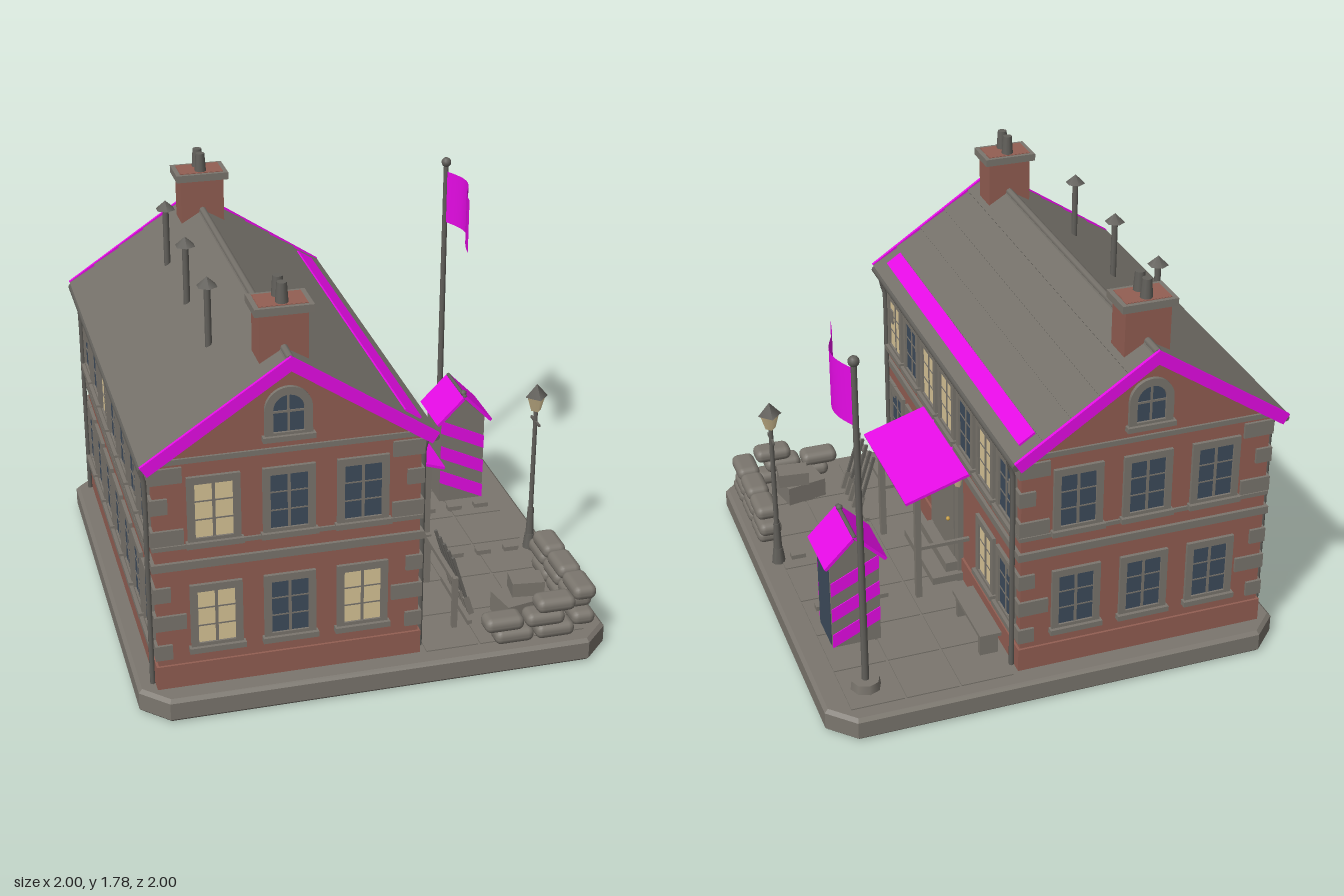
import * as THREE from 'three';
import { RoundedBoxGeometry } from 'three/addons/geometries/RoundedBoxGeometry.js';

const mat = (name, color, side = THREE.FrontSide) => {
  const m = new THREE.MeshStandardMaterial({ color, side });
  m.name = name;
  return m;
};

export function createModel() {
  const stone = mat('stone', 0x7b766e), slate = mat('slate', 0x75716a), brick = mat('brick', 0x935f53);
  const paint = mat('magenta paint', 0xf00cf0, THREE.DoubleSide), metal = mat('metal', 0x62605b);
  const glass = mat('dark glass', 0x3e4c5c), lit = mat('lit glass', 0xdac698), brass = mat('brass', 0xc9a045);
  const model = new THREE.Group();

  const add = (parent, name, geo, m, x = 0, y = 0, z = 0) => {
    const mesh = new THREE.Mesh(geo, m);
    mesh.name = name;
    mesh.position.set(x, y, z);
    parent.add(mesh);
    return mesh;
  };
  const box = (p, name, m, w, h, d, x, y, z) => add(p, name, new THREE.BoxGeometry(w, h, d), m, x, y, z);
  const cyl = (p, name, m, r1, r2, h, x, y, z, n = 8) => add(p, name, new THREE.CylinderGeometry(r1, r2, h, n), m, x, y, z);
  const group = (p, name, x = 0, y = 0, z = 0, ry = 0) => {
    const g = new THREE.Group();
    g.name = name;
    g.position.set(x, y, z);
    g.rotation.y = ry;
    p.add(g);
    return g;
  };
  const poly = pts => new THREE.Shape(pts.map(([x, y]) => new THREE.Vector2(x, y)));
  const extrude = (shape, depth) => new THREE.ExtrudeGeometry(shape, { depth, bevelEnabled: false });

  // Base with cut corners and a bevelled rim
  const b = 0.985, c = 0.885;
  const baseGeo = new THREE.ExtrudeGeometry(
    poly([[-c, -b], [c, -b], [b, -c], [b, c], [c, b], [-c, b], [-b, c], [-b, -c]]),
    { depth: 0.075, bevelSize: 0.015, bevelThickness: 0.015, bevelSegments: 1 });
  add(model, 'base', baseGeo, stone, 0, 0.015, 0).rotation.x = -Math.PI / 2;

  // Paving slabs in the yard
  for (let i = 0; i < 3; i++) for (let j = 0; j < 7; j++)
    box(model, 'pavingSlab', stone, 0.225, 0.008, 0.255, 0.315 + i * 0.235, 0.106, -0.8 + j * 0.265);

  // House walls with gables
  const house = group(model, 'house', -0.375, 0, 0);
  const W = 0.54, D = 0.9;
  add(house, 'walls', extrude(poly([[-W, 0.1], [W, 0.1], [W, 1.128], [0, 1.486], [-W, 1.128]]), 2 * D), brick, 0, 0, -D);
  box(house, 'plinth', brick, 1.1, 0.11, 1.82, 0, 0.155, 0);
  box(house, 'stringCourse', stone, 1.11, 0.034, 1.83, 0, 0.665, 0);
  box(house, 'sillCourse', stone, 1.1, 0.018, 1.82, 0, 0.748, 0);
  box(house, 'eavesCourse', stone, 1.1, 0.022, 1.82, 0, 1.122, 0);

  // Corner stones, alternately long and short
  for (const sx of [-1, 1]) for (const sz of [-1, 1])
    [0.275, 0.41, 0.54, 0.795, 0.935, 1.065].forEach((y, i) => {
      const lx = i % 2 ? 0.13 : 0.07, lz = i % 2 ? 0.07 : 0.13;
      box(house, 'cornerStone', stone, lx, 0.066, lz, sx * (W + 0.012 - lx / 2), y, sz * (D + 0.012 - lz / 2));
    });

  // Windows, built facing +z
  const addWindow = (x, y, z, ry, on) => {
    const g = group(house, 'window', x, y, z, ry);
    for (const s of [-1, 1]) {
      box(g, 'frameSide', stone, 0.03, 0.3, 0.03, s * 0.091, 0, 0);
      box(g, 'frameEnd', stone, 0.16, 0.032, 0.03, 0, s * 0.134, 0);
    }
    box(g, 'pane', on ? lit : glass, 0.155, 0.24, 0.008, 0, 0, 0.002);
    box(g, 'mullion', stone, 0.012, 0.24, 0.008, 0, 0, 0.005);
    for (const s of [-1, 1]) box(g, 'glazingBar', stone, 0.155, 0.006, 0.006, 0, s * 0.04, 0.005);
    box(g, 'sill', stone, 0.23, 0.024, 0.05, 0, -0.144, 0.005);
  };
  const rows = [0.42, 0.9];
  const litFront = ['0,0', '0,2', '1,0'];
  rows.forEach((y, r) => {
    for (let i = 0; i < 3; i++) {
      addWindow((i - 1) * 0.3, y, D, 0, litFront.includes(r + ',' + i));
      addWindow((i - 1) * 0.3, y, -D, Math.PI, false);
    }
    for (let i = 0; i < 7; i++) {
      const z = 0.75 - i * 0.25;
      addWindow(-W, y, z, -Math.PI / 2, r === 1 && i === 4);
      if (r === 1 || i < 2 || i > 4) addWindow(W, y, z, Math.PI / 2, (r ? [0, 2, 3, 5] : [1, 5]).includes(i));
    }
  });

  // Arched attic windows
  const arch = (r, y0, y1) => {
    const s = poly([[-r, y0], [r, y0], [r, y1]]);
    s.absarc(0, y1, r, 0, Math.PI, false);
    return s;
  };
  for (const ry of [0, Math.PI]) {
    const g = group(group(house, 'gable', 0, 0, 0, ry), 'atticWindow', 0, 0, D);
    const frame = arch(0.095, 1.18, 1.295);
    frame.holes.push(arch(0.062, 1.2, 1.295));
    add(g, 'archFrame', extrude(frame, 0.016), stone);
    add(g, 'archPane', extrude(arch(0.064, 1.2, 1.295), 0.005), glass);
    box(g, 'mullion', stone, 0.009, 0.155, 0.006, 0, 1.278, 0.006);
    box(g, 'glazingBar', stone, 0.125, 0.009, 0.006, 0, 1.285, 0.006);
    box(g, 'sill', stone, 0.21, 0.022, 0.04, 0, 1.178, 0.01);
  }

  // Roof: overlapping slate rows on two slopes, with painted edge boards
  const L = 0.703, tilt = Math.atan2(0.39, 0.585), rowL = L / 5;
  for (const side of [1, -1]) {
    const half = group(house, 'roofSide', 0, 0, 0, side > 0 ? 0 : Math.PI);
    const slope = group(half, 'slope', 0, 1.53, 0);
    slope.rotation.z = -tilt;
    for (let i = 0; i < 5; i++)
      box(slope, 'slateRow', slate, rowL + 0.012, 0.032, 1.9, (i + 0.5) * rowL, -0.018, 0).rotation.z = 0.05;
    for (const s of [-1, 1]) box(slope, 'edgeBoard', paint, L + 0.01, 0.05, 0.014, L / 2, -0.02, s * 0.956);
    if (side > 0) box(slope, 'roofStripe', paint, 0.08, 0.009, 1.75, 0.61, 0.003, 0);
    cyl(half, 'gutter', metal, 0.016, 0.016, 1.9, 0.582, 1.118, 0).rotation.x = Math.PI / 2;
    // Downpipes with a bent neck
    for (const z of [-0.86, 0.86]) {
      const path = new THREE.CatmullRomCurve3([[0.582, 1.11], [0.58, 1.085], [0.565, 1.05], [0.562, 1], [0.562, 0.6], [0.562, 0.11]]
        .map(([x, y]) => new THREE.Vector3(x, y, z)));
      add(half, 'downpipe', new THREE.TubeGeometry(path, 24, 0.011, 6), metal);
    }
  }
  cyl(house, 'ridgeCap', slate, 0.016, 0.016, 1.9, 0, 1.522, 0).rotation.x = Math.PI / 2;

  // Chimneys and flue pipes
  for (const z of [-0.78, 0.78]) {
    const g = group(house, 'chimney', 0, 0, z);
    box(g, 'stack', brick, 0.195, 0.27, 0.13, 0, 1.563, 0);
    box(g, 'cap', stone, 0.235, 0.032, 0.165, 0, 1.68, 0);
    box(g, 'capTop', brick, 0.19, 0.004, 0.125, 0, 1.697, 0);
    for (const s of [-1, 1]) cyl(g, 'pot', metal, 0.02, 0.026, 0.085, 0, 1.738, s * 0.034, 10);
  }
  for (const z of [-0.45, 0, 0.45]) {
    cyl(house, 'fluePipe', metal, 0.014, 0.014, 0.27, -0.215, 1.505, z);
    cyl(house, 'flueCap', metal, 0, 0.044, 0.04, -0.215, 1.66, z, 6);
  }

  // Doorway with steps, canopy, posts and lamps
  const porch = group(model, 'porch', 0.165, 0, 0);
  box(porch, 'doorSurround', stone, 0.03, 0.54, 0.38, 0.01, 0.37, 0);
  box(porch, 'door', stone, 0.02, 0.41, 0.29, 0.02, 0.4, 0);
  add(porch, 'doorKnob', new THREE.SphereGeometry(0.01, 8, 6), brass, 0.036, 0.36, -0.085);
  box(porch, 'upperStep', stone, 0.08, 0.09, 0.36, 0.04, 0.145, 0);
  box(porch, 'lowerStep', stone, 0.15, 0.045, 0.42, 0.075, 0.122, 0);
  box(porch, 'canopy', paint, 0.315, 0.012, 0.62, 0.148, 0.668, 0).rotation.z = -0.31;
  for (const s of [-1, 1]) {
    box(porch, 'canopyPost', stone, 0.026, 0.53, 0.026, 0.235, 0.365, s * 0.265);
    box(porch, 'sideRail', stone, 0.235, 0.016, 0.016, 0.118, 0.358, s * 0.265);
    const lamp = group(porch, 'wallLamp', 0.035, 0.635, s * 0.225);
    cyl(lamp, 'lampGlass', lit, 0.022, 0.014, 0.045, 0, 0, 0, 4);
    cyl(lamp, 'lampCap', metal, 0, 0.03, 0.022, 0, 0.034, 0, 4);
    box(lamp, 'lampArm', metal, 0.04, 0.008, 0.008, -0.02, 0.022, 0);
  }
  box(porch, 'noticeBoard', stone, 0.014, 0.135, 0.145, 0.035, 0.42, 0.405);

  // Bench by the wall
  box(model, 'benchSeat', stone, 0.095, 0.016, 0.36, 0.25, 0.215, -0.605);
  for (const z of [-0.75, -0.46]) box(model, 'benchLeg', stone, 0.08, 0.11, 0.025, 0.25, 0.155, z);

  // Rack with leaning rods
  const rack = group(model, 'rack', 0.37, 0, 0.575);
  for (const s of [-1, 1]) box(rack, 'rackPost', stone, 0.022, 0.25, 0.022, 0, 0.225, s * 0.19);
  box(rack, 'rackBar', stone, 0.02, 0.02, 0.4, 0, 0.33, 0);
  box(rack, 'rackFoot', stone, 0.02, 0.025, 0.38, 0.072, 0.115, 0);
  for (let i = 0; i < 5; i++) {
    box(rack, 'rod', metal, 0.013, 0.3, 0.013, 0.055, 0.26, -0.12 + i * 0.06).rotation.z = 0.3;
    box(rack, 'rodButt', stone, 0.026, 0.09, 0.015, 0.086, 0.16, -0.12 + i * 0.06).rotation.z = 0.3;
  }

  // Sentry box, open towards +x, with painted diagonal stripes
  const hut = group(model, 'sentryBox', 0.75, 0, -0.4);
  add(hut, 'hutBody', extrude(poly([[-0.105, 0.1], [0.105, 0.1], [0.105, 0.535], [0, 0.635], [-0.105, 0.535]]), 0.21), stone, 0, 0, -0.105);
  box(hut, 'doorway', glass, 0.008, 0.4, 0.175, 0.105, 0.315, 0);
  const stripe = extrude(poly([[-0.105, 0], [0.105, -0.1], [0.105, -0.035], [-0.105, 0.065]]), 0.006);
  for (const y of [0.47, 0.34, 0.21]) for (const z of [-0.109, 0.103]) add(hut, 'stripe', stripe, paint, 0, y, z);
  for (const s of [-1, 1]) box(hut, 'hutRoof', paint, 0.185, 0.014, 0.265, s * 0.065, 0.59, 0).rotation.z = -s * 0.79;
  cyl(hut, 'ridge', metal, 0.01, 0.01, 0.265, 0, 0.655, 0).rotation.x = Math.PI / 2;
  add(hut, 'finial', new THREE.SphereGeometry(0.015, 8, 6), metal, 0, 0.665, 0.1);

  // Flagpole with a waving flag
  const pole = group(model, 'flagpole', 0.8, 0, -0.8);
  cyl(pole, 'poleFoot', stone, 0.06, 0.066, 0.05, 0, 0.125, 0);
  cyl(pole, 'pole', metal, 0.012, 0.016, 1.5, 0, 0.86, 0);
  add(pole, 'poleBall', new THREE.SphereGeometry(0.023, 12, 8), metal, 0, 1.62, 0);
  const flagGeo = new THREE.PlaneGeometry(0.4, 0.25, 14, 1).rotateY(-Math.PI / 2).translate(0, 1.455, 0.22);
  const p = flagGeo.attributes.position;
  for (let i = 0; i < p.count; i++) {
    const t = (p.getZ(i) - 0.02) / 0.4;
    p.setX(i, 0.045 * Math.sin(t * 4.4) * (t < 0.71 ? 1 : 0.6));
  }
  flagGeo.computeVertexNormals();
  add(pole, 'flag', flagGeo, paint);

  // Street lamp
  const lamp = group(model, 'streetLamp', 0.91, 0, 0.21);
  cyl(lamp, 'lampFoot', metal, 0.022, 0.032, 0.08, 0, 0.14, 0);
  cyl(lamp, 'lampSleeve', metal, 0.015, 0.02, 0.14, 0, 0.24, 0);
  cyl(lamp, 'lampPost', metal, 0.01, 0.012, 0.7, 0, 0.45, 0);
  box(lamp, 'crossBar', metal, 0.01, 0.01, 0.1, 0, 0.745, 0);
  cyl(lamp, 'lanternGlass', lit, 0.042, 0.022, 0.068, 0, 0.832, 0, 4);
  cyl(lamp, 'lanternCap', metal, 0, 0.052, 0.06, 0, 0.896, 0, 4);

  // Low kerb blocks
  for (const x of [0.56, 0.69, 0.82]) for (const z of [-0.21, 0.21])
    box(model, 'kerbBlock', stone, 0.066, 0.025, 0.036, x, 0.118, z);

  // Sandbag wall around the corner
  const bag = (x, y, z, ry) => {
    const m = add(model, 'sandbag', new RoundedBoxGeometry(0.172, 0.066, 0.105, 2, 0.03), stone, x, y, z);
    m.rotation.y = ry;
  };
  for (let r = 0; r < 3; r++) {
    const y = 0.136 + r * 0.061, shift = r === 1 ? -0.045 : 0;
    for (let i = 0; i < 3; i++) bag(0.91, y, 0.45 + i * 0.18 + shift, Math.PI / 2);
    for (let i = 0; i < (r === 2 ? 1 : 2); i++) bag(0.76 - i * 0.18 + shift, y, 0.905, 0);
  }

  // Stacked crates
  box(model, 'crate', stone, 0.19, 0.1, 0.15, 0.67, 0.15, 0.73).rotation.y = 0.2;
  box(model, 'smallCrate', stone, 0.14, 0.065, 0.1, 0.71, 0.232, 0.705).rotation.y = -0.12;

  return model;
}
